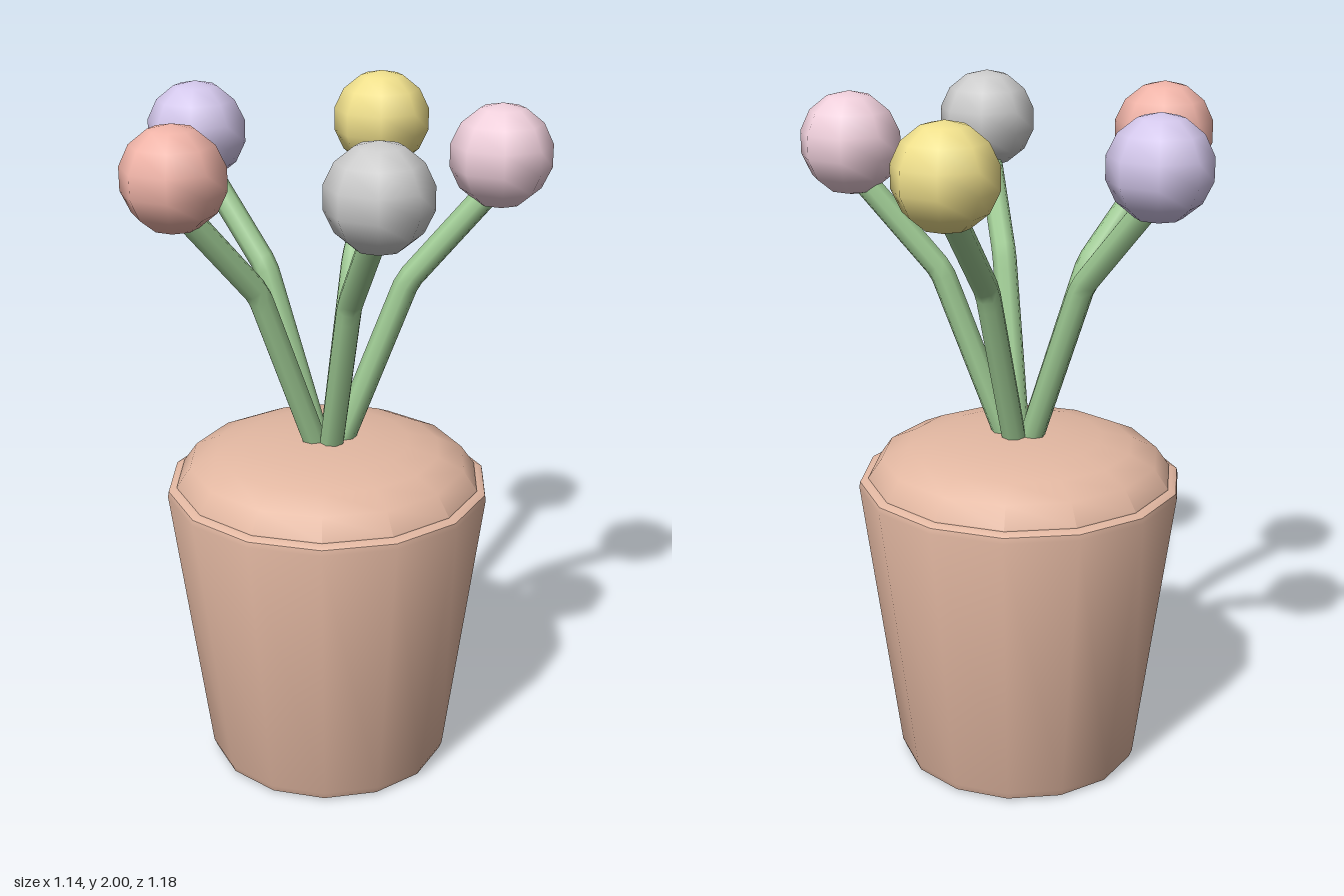
import * as THREE from 'three';
import { toCreasedNormals } from 'three/addons/utils/BufferGeometryUtils.js';

const SIDES = 14;

function makeMesh(name, geometry, color) {
  const mesh = new THREE.Mesh(geometry, new THREE.MeshStandardMaterial({ color }));
  mesh.name = name;
  return mesh;
}

// Turned part from [radius, height] pairs, listed bottom to top
function turned(profile) {
  const points = profile.map(([r, y]) => new THREE.Vector2(r, y));
  return toCreasedNormals(new THREE.LatheGeometry(points, SIDES), 0.65);
}

// Stem leaning out along +x with one short, tight bend
function stemGeometry() {
  const base = new THREE.Vector3(0.01, 0.93, 0);
  const bend = new THREE.Vector3(0.225, 1.5, 0);
  const tip = new THREE.Vector3(0.465, 1.78, 0);
  const before = bend.clone().lerp(base, 0.04);
  const after = bend.clone().lerp(tip, 0.06);
  const path = new THREE.CurvePath();
  path.add(new THREE.LineCurve3(base, before));
  path.add(new THREE.QuadraticBezierCurve3(before, bend, after));
  path.add(new THREE.LineCurve3(after, tip));
  return new THREE.TubeGeometry(path, 28, 0.036, 8, false);
}

export function createModel() {
  const model = new THREE.Group();
  model.name = 'pottedFlowers';

  // Everything sits round the axis of the pot
  const plant = new THREE.Group();
  plant.name = 'plant';
  plant.position.x = -0.045;
  model.add(plant);

  // Tapered pot with a softened foot and rim
  plant.add(makeMesh('pot', turned([
    [0, 0], [0.335, 0], [0.353, 0.008], [0.362, 0.03],
    [0.472, 0.872], [0.469, 0.888], [0.455, 0.897], [0.43, 0.897], [0, 0.897],
  ]), 0xe3b8a2));

  // Domed soil
  plant.add(makeMesh('soil', turned([
    [0.445, 0.89], [0.445, 0.9], [0.405, 0.957], [0.33, 0.992],
    [0.24, 1.014], [0.12, 1.025], [0, 1.028],
  ]), 0xe3b8a2));

  // Five stems fanned evenly, each with a ball-shaped bloom
  const stem = stemGeometry();
  const bloom = new THREE.SphereGeometry(0.1436, 8, 7);
  const colors = [0xf0d0dc, 0xcccccc, 0xf0b4a8, 0xd4c8ec, 0xf0e08c];
  colors.forEach((color, i) => {
    const angle = (i * Math.PI * 2) / colors.length;
    const stalk = makeMesh('stem' + (i + 1), stem, 0x9fcb94);
    stalk.rotation.y = -angle;
    plant.add(stalk);

    const ball = makeMesh('bloom' + (i + 1), bloom, color);
    ball.position.set(0.475 * Math.cos(angle), 1.856, 0.475 * Math.sin(angle));
    plant.add(ball);
  });

  return model;
}
